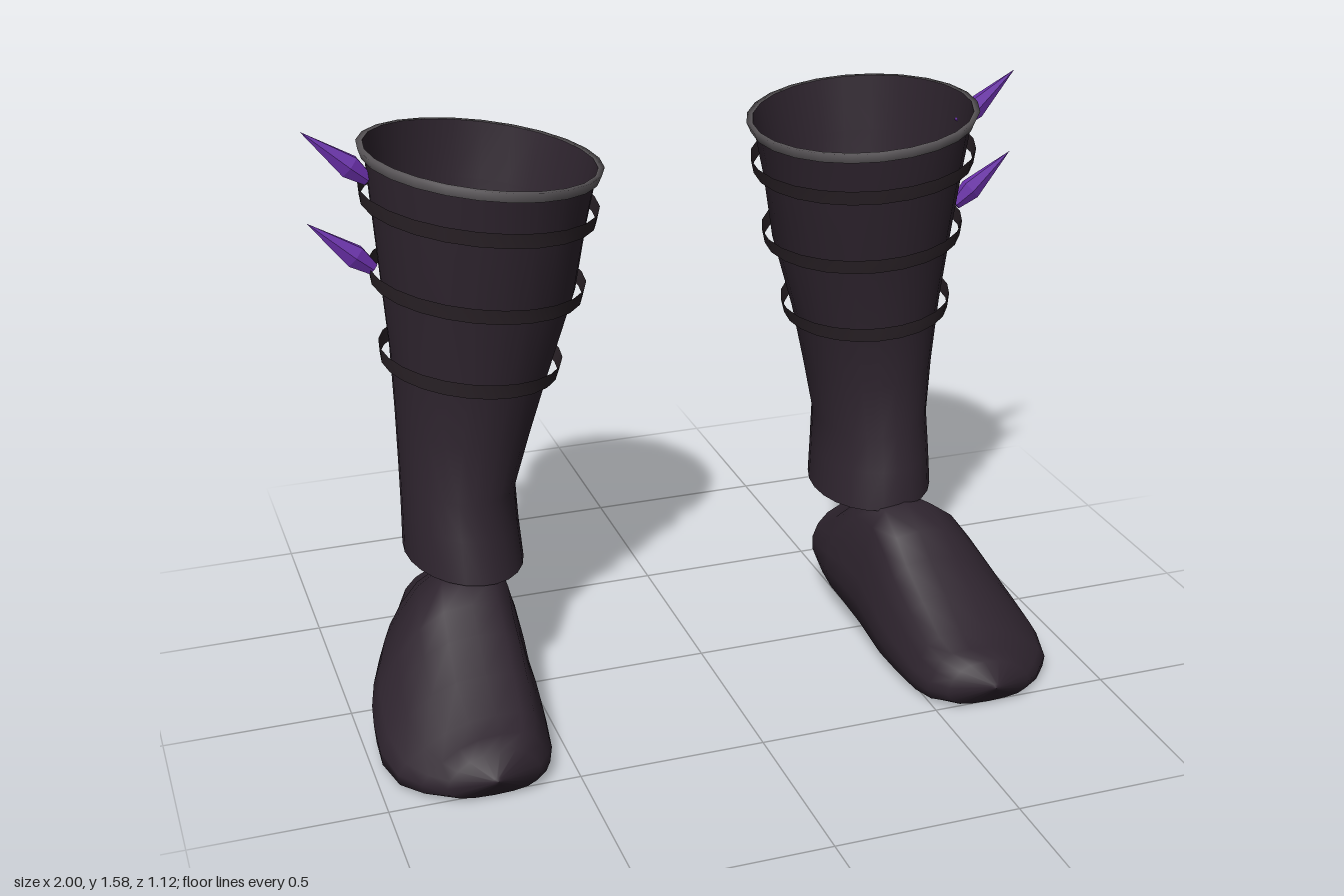
import * as THREE from 'three';

const mat = (name, color, extra = {}) => new THREE.MeshStandardMaterial({ name, color, ...extra });
const leather = mat('dark leather', 0x2e242e, { side: THREE.DoubleSide });
const strapMat = mat('strap leather', 0x292126, { side: THREE.DoubleSide });
const rimMat = mat('grey trim', 0x5c585b, { side: THREE.DoubleSide });
const spikeMat = mat('purple spike', 0x6a30aa, { flatShading: true });

const SEG = 24;

// Skins a list of equally sized closed rings of [x, y, z] points
function loft(rings) {
  const n = rings[0].length, index = [];
  for (let r = 0; r < rings.length - 1; r++) {
    for (let i = 0; i < n; i++) {
      const a = r * n + i, b = r * n + (i + 1) % n;
      index.push(a, a + n, b, b, a + n, b + n);
    }
  }
  const geo = new THREE.BufferGeometry();
  geo.setAttribute('position', new THREE.Float32BufferAttribute(rings.flat(2), 3));
  geo.setIndex(index);
  geo.computeVertexNormals();
  return geo;
}

function add(group, name, geo, material) {
  const mesh = new THREE.Mesh(geo, material);
  mesh.name = name;
  group.add(mesh);
  return mesh;
}

// Shaft sections: height, inner x, outer x, front z, back z
const leftShaft = [
  [0.395, 0.405, 0.74, 0.05, -0.39], [0.50, 0.415, 0.738, 0.03, -0.40],
  [0.60, 0.425, 0.738, 0.0, -0.41], [0.75, 0.40, 0.757, -0.015, -0.43],
  [0.925, 0.365, 0.775, 0.0, -0.46], [1.14, 0.305, 0.80, 0.04, -0.50],
  [1.32, 0.277, 0.818, 0.08, -0.525], [1.475, 0.243, 0.838, 0.11, -0.545],
];
const rightShaft = [
  [0.39, 0.49, 0.81, 0.11, -0.32], [0.50, 0.495, 0.805, 0.08, -0.33],
  [0.60, 0.495, 0.802, 0.05, -0.34], [0.75, 0.44, 0.80, 0.04, -0.37],
  [0.925, 0.38, 0.803, 0.055, -0.40], [1.14, 0.308, 0.818, 0.095, -0.44],
  [1.32, 0.275, 0.83, 0.12, -0.47], [1.475, 0.24, 0.84, 0.14, -0.487],
];

// One ring of the shaft at height y, grown outward by offset
function shaftRing(boot, y, offset = 0) {
  const s = boot.shaft;
  let k = 0;
  while (k < s.length - 2 && s[k + 1][0] < y) k++;
  const t = (y - s[k][0]) / (s[k + 1][0] - s[k][0]);
  const [, inner, outer, front, back] = s[k].map((v, i) => v + (s[k + 1][i] - v) * t);
  const tilt = boot.tilt * THREE.MathUtils.clamp(0.4 + 0.6 * (y - 0.4), 0.4, 1);
  return Array.from({ length: SEG }, (_, i) => {
    const a = i / SEG * Math.PI * 2, c = Math.cos(a), d = Math.sin(a);
    return [
      boot.side * ((inner + outer) / 2 + c * ((outer - inner) / 2 + offset)),
      y + tilt * c - 0.008 * d,
      (front + back) / 2 + d * ((front - back) / 2 + offset),
    ];
  });
}

// Foot sections: z, inner x, outer x, bottom y, top y, roundness
const footSections = [
  [-0.29, 0.45, 0.72, 0.02, 0.26, 1], [-0.20, 0.43, 0.755, 0.025, 0.29, 0.85],
  [-0.12, 0.43, 0.80, 0.03, 0.35, 0.4], [-0.04, 0.44, 0.835, 0.034, 0.39, 0.1],
  [0.06, 0.45, 0.87, 0.02, 0.405, 0], [0.13, 0.455, 0.89, 0.005, 0.35, 0],
  [0.20, 0.455, 0.90, 0, 0.295, 0], [0.30, 0.462, 0.905, 0, 0.23, 0],
  [0.40, 0.475, 0.88, 0, 0.17, 0], [0.46, 0.495, 0.83, 0, 0.147, 0.1],
  [0.51, 0.53, 0.775, 0.005, 0.13, 0.5], [0.55, 0.635, 0.665, 0.06, 0.08, 1],
];
// Half outline of the foot from sole to instep, in fractions of width and height
const footHalf = [[0, 0], [0.45, 0], [0.78, 0.01], [0.96, 0.08], [1, 0.26], [0.93, 0.43],
  [0.77, 0.64], [0.58, 0.85], [0.34, 0.97], [0, 1]];

function footRing(boot, [z, inner, outer, y0, y1, round]) {
  const cx = (inner + outer) / 2 + boot.footShift, hw = (outer - inner) / 2;
  const last = footHalf.length - 1;
  const point = (i, sign) => {
    const a = i / last * Math.PI;
    const u = THREE.MathUtils.lerp(footHalf[i][0], Math.sin(a), round);
    const v = THREE.MathUtils.lerp(footHalf[i][1], (1 - Math.cos(a)) / 2, round);
    const skew = -0.32 * hw * v * v * (1 - round);
    return [boot.side * (cx + sign * u * hw + skew), y0 + v * (y1 - y0), z + boot.footZ];
  };
  const ring = [];
  for (let i = 0; i <= last; i++) ring.push(point(i, 1));
  for (let i = last - 1; i > 0; i--) ring.push(point(i, -1));
  return ring;
}

function makeBoot(boot) {
  const g = new THREE.Group();
  g.name = boot.name;

  // Open leg tube
  add(g, 'shaft', loft(boot.shaft.map(s => shaftRing(boot, s[0]))), leather);

  // Foot, open at the heel and closed by a small toe cap
  const rings = footSections.map(s => footRing(boot, s));
  const tip = rings[rings.length - 1];
  const mid = [0, 1, 2].map(k => tip.reduce((sum, p) => sum + p[k], 0) / tip.length);
  rings.push(tip.map(() => [mid[0], mid[1], mid[2] + 0.005]));
  add(g, 'foot', loft(rings), leather);

  // Loose ribbon straps
  for (const y of [0.925, 1.14, 1.35]) {
    add(g, 'strap', loft([shaftRing(boot, y - 0.02, 0.026), shaftRing(boot, y + 0.02, 0.026)]), strapMat);
  }

  // Grey band around the top edge, with a narrow lip
  add(g, 'rim', loft([
    shaftRing(boot, 1.448, 0.01), shaftRing(boot, 1.475, 0.017), shaftRing(boot, 1.475, 0),
  ]), rimMat);

  // Spikes on the outer side
  const profile = [[0, 0], [0.018, 0], [0.034, 0.06], [0, 0.215]].map(p => new THREE.Vector2(...p));
  for (const y of boot.spikes) {
    const spike = add(g, 'spike', new THREE.LatheGeometry(profile, 6), spikeMat);
    spike.scale.z = 0.65;
    spike.position.set(boot.side * 0.835, y, boot.spikeZ);
    spike.rotation.z = -boot.side * 0.86;
  }
  return g;
}

export function createModel() {
  const model = new THREE.Group();
  model.name = 'pairOfBoots';
  model.add(makeBoot({
    name: 'leftBoot', side: 1, shaft: leftShaft, tilt: 0.03,
    footShift: 0, footZ: 0, spikes: [1.415, 1.18], spikeZ: -0.22,
  }));
  model.add(makeBoot({
    name: 'rightBoot', side: -1, shaft: rightShaft, tilt: 0.042,
    footShift: 0.08, footZ: 0.008, spikes: [1.435, 1.195], spikeZ: -0.175,
  }));
  return model;
}
